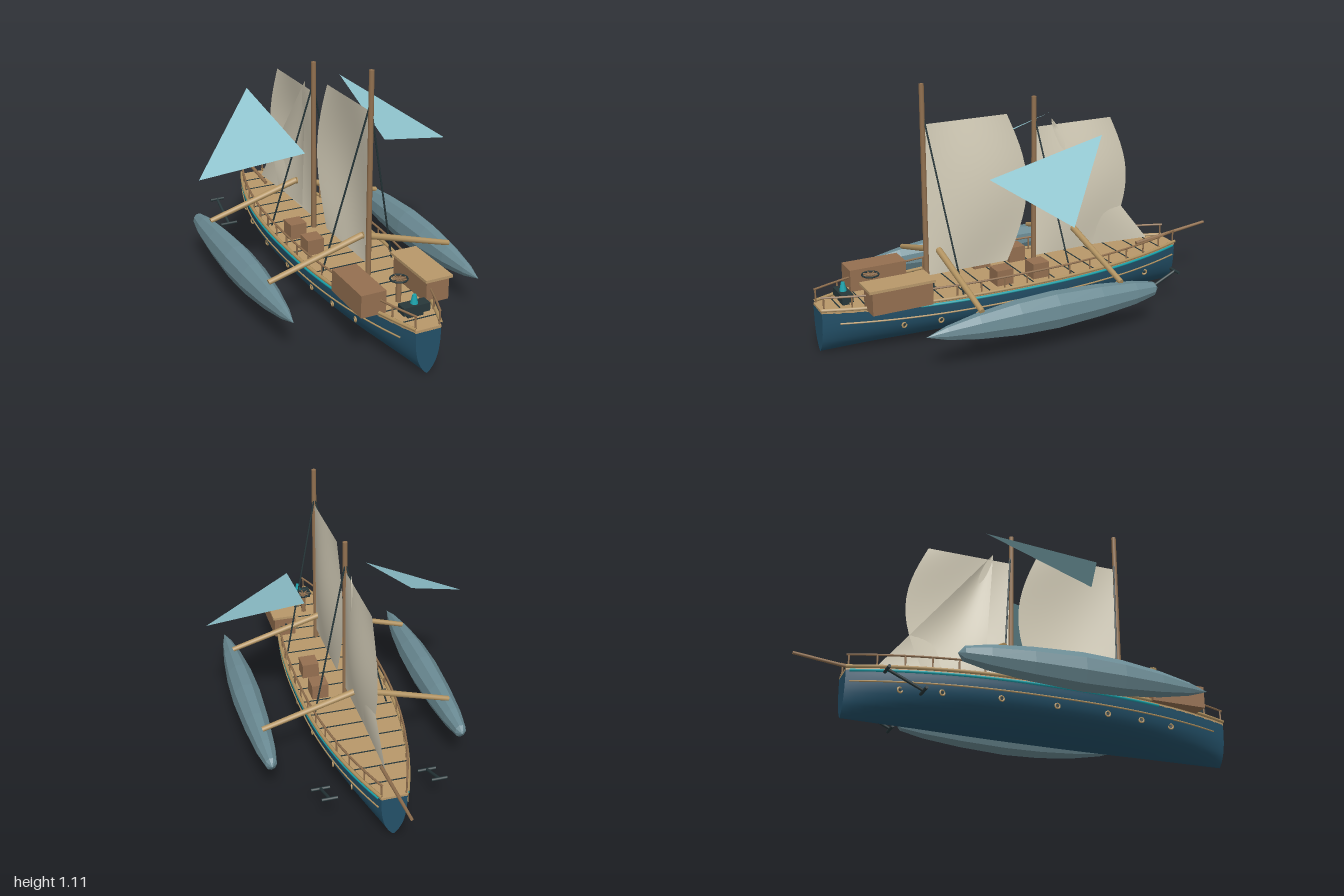
import * as THREE from 'three';
import { ParametricGeometry } from 'three/addons/geometries/ParametricGeometry.js';

const V = (x, y, z) => new THREE.Vector3(x, y, z);
const mat = (name, color, extra = {}) => {
  const m = new THREE.MeshStandardMaterial({ color, ...extra });
  m.name = name;
  return m;
};

const STERN = 1, BOW = -0.785;
// half width of the deck at a given z
const halfWidth = z => 0.21 * (1 - 0.73 * Math.pow(Math.abs((z - 0.108) / 0.893), 2.35));

export function createModel() {
  const ship = new THREE.Group();
  ship.name = 'outriggerShip';

  const hullBlue = mat('hull blue', 0x235068, { side: THREE.DoubleSide });
  const deckTan = mat('deck tan', 0xb8986a);
  const spar = mat('spar wood', 0x91704f);
  const cabinBrown = mat('cabin brown', 0x946f50);
  const beamTan = mat('beam tan', 0xb39462);
  const canvas = mat('canvas', 0xd6cfba, { side: THREE.DoubleSide });
  const kiteBlue = mat('kite blue', 0x90c4ce, { side: THREE.DoubleSide });
  const floatGrey = mat('float grey', 0x6a8a93, { flatShading: true });
  const dark = mat('dark iron', 0x27373a);
  const teal = mat('teal', 0x18a3ad);

  const add = (name, geo, material, x = 0, y = 0, z = 0, parent = ship) => {
    const m = new THREE.Mesh(geo, material);
    m.name = name;
    m.position.set(x, y, z);
    parent.add(m);
    return m;
  };
  const box = (name, w, h, d, material, x, y, z) =>
    add(name, new THREE.BoxGeometry(w, h, d), material, x, y, z);
  // straight round bar between two points
  const rod = (name, a, b, r, material, r2 = r, sides = 8) => {
    const m = add(name, new THREE.CylinderGeometry(r2, r, a.distanceTo(b), sides), material);
    m.position.copy(a).add(b).multiplyScalar(0.5);
    m.quaternion.setFromUnitVectors(V(0, 1, 0), b.clone().sub(a).normalize());
    return m;
  };
  // round strip following the hull side
  const strip = (name, side, y, r, material, scale, offset, z0 = BOW, z1 = STERN) => {
    const pts = [];
    for (let i = 0; i <= 20; i++) {
      const z = z0 + (z1 - z0) * i / 20;
      pts.push(V(side * (halfWidth(z) * scale + offset), y, z));
    }
    add(name, new THREE.TubeGeometry(new THREE.CatmullRomCurve3(pts), 48, r, 6), material);
  };

  // hull: one section, scaled in width along the length
  const half = [[1, 0.192], [0.98, 0.145], [0.9, 0.1], [0.72, 0.058], [0.46, 0.028], [0.2, 0.009]];
  const section = new THREE.SplineCurve([
    ...half.map(p => new THREE.Vector2(p[0], p[1])),
    new THREE.Vector2(0, 0),
    ...half.slice().reverse().map(p => new THREE.Vector2(-p[0], p[1])),
  ]);
  add('hull', new ParametricGeometry((u, v, out) => {
    const z = BOW + (STERN - BOW) * u, p = section.getPoint(v);
    out.set(p.x * halfWidth(z), p.y, z);
  }, 40, 28), hullBlue);
  for (const z of [BOW, STERN]) {
    const w = halfWidth(z);
    const end = new THREE.Shape(section.getPoints(28).map(p => new THREE.Vector2(p.x * w, p.y)));
    add('hullEnd', new THREE.ShapeGeometry(end), hullBlue, 0, 0, z);
  }

  // deck plate and plank seams
  const outline = [];
  for (let i = 0; i <= 30; i++) {
    const z = BOW + (STERN - BOW) * i / 30;
    outline.push(new THREE.Vector2(halfWidth(z), -z));
  }
  const mirrored = outline.map(p => new THREE.Vector2(-p.x, p.y)).reverse();
  const deckGeo = new THREE.ExtrudeGeometry(new THREE.Shape([...outline, ...mirrored]),
    { depth: 0.012, bevelEnabled: false });
  deckGeo.rotateX(-Math.PI / 2);
  add('deck', deckGeo, deckTan, 0, 0.19, 0);
  for (let z = -0.685; z < 0.95; z += 0.107)
    box('plankSeam', halfWidth(z) * 1.9, 0.003, 0.005, dark, 0, 0.203, z);

  for (const s of [-1, 1]) {
    // gunwale, painted stripe, rubbing strip and railing
    strip('gunwale', s, 0.208, 0.008, beamTan, 1, 0);
    strip('tealStripe', s, 0.19, 0.006, teal, 1, 0, -0.77, 0.6);
    strip('rubbingStrip', s, 0.143, 0.004, beamTan, 0.978, 0.001, -0.77, 0.93);
    strip('handrail', s, 0.262, 0.005, spar, 1, -0.006);
    for (let i = 0; i <= 16; i++) {
      const z = BOW + 0.01 + (STERN - BOW - 0.02) * i / 16, x = s * (halfWidth(z) - 0.006);
      rod('railPost', V(x, 0.2, z), V(x, 0.262, z), 0.004, spar, 0.004, 6);
    }
    // portholes
    for (const z of [-0.57, -0.4, -0.15, 0.1, 0.34, 0.51, 0.67]) {
      const slope = Math.atan((halfWidth(z + 0.01) - halfWidth(z - 0.01)) / 0.02);
      const x = s * (halfWidth(z) * 0.925 + 0.002);
      const turn = s * (Math.PI / 2 - slope);
      add('portholeRim', new THREE.TorusGeometry(0.011, 0.004, 6, 14), beamTan, x, 0.11, z).rotation.y = turn;
      add('portholeGlass', new THREE.CircleGeometry(0.011, 14), dark, x, 0.11, z).rotation.y = turn;
    }
    // crossbeams
    for (const z of [-0.235, 0.44])
      rod('crossbeam', V(0, 0.362, z), V(s * 0.435, 0.235, z), 0.015, beamTan, 0.012, 10);

    // faceted float
    const profile = [[0, -0.56], [0.026, -0.535], [0.044, -0.43], [0.059, -0.25], [0.068, -0.03],
      [0.063, 0.15], [0.046, 0.33], [0.024, 0.47], [0, 0.56]];
    const floatGeo = new THREE.LatheGeometry(profile.map(p => new THREE.Vector2(p[0], p[1])), 9);
    floatGeo.rotateX(Math.PI / 2);
    floatGeo.scale(1, 1.25, 1);
    add('float', floatGeo, floatGrey, s * 0.435, 0.172, 0.13);

    // triangular kite
    const kite = new THREE.BufferGeometry().setFromPoints(
      [V(s * 0.603, 0.596, 0.105), V(s * 0.235, 0.852, -0.245), V(s * 0.19, 0.71, 0.28)]);
    kite.computeVertexNormals();
    add('kite', kite, kiteBlue);

    // anchor
    const top = V(s * 0.243, 0.142, -0.66), foot = V(s * 0.243, 0.072, -0.505);
    rod('anchorShank', top, foot, 0.007, dark);
    rod('anchorStock', top.clone().add(V(-0.035, 0, 0)), top.clone().add(V(0.035, 0, 0)), 0.007, dark);
    rod('anchorFluke', foot.clone().add(V(-0.042, 0, 0)), foot.clone().add(V(0.042, 0, 0)), 0.007, dark);

    // deck hatches
    for (const z of [0.01, 0.19]) box('hatch', 0.078, 0.072, 0.08, cabinBrown, s * 0.116, 0.237, z);
  }

  // masts, shrouds and bowsprit
  for (const [z, h, lines] of [[0.5, 1.11, 0.97], [-0.035, 1.0, 0.9]]) {
    rod('mast', V(0, 0.2, z), V(0, h, z), 0.012, spar, 0.011, 12);
    for (const s of [-1, 1])
      rod('shroud', V(0, lines, z - 0.005), V(s * 0.17, 0.2, z - 0.1), 0.004, dark, 0.004, 6);
  }
  rod('bowsprit', V(0, 0.212, -0.6), V(0, 0.257, -0.998), 0.009, spar, 0.007);

  // square-headed sails, bulging sideways, with a curved trailing edge
  const sail = (name, z0, top, bottom, width, bow) =>
    add(name, new ParametricGeometry((u, v, out) => {
      const arch = Math.sin(Math.PI * v);
      out.set(0.034 * Math.sin(Math.PI * u) * arch,
        bottom + (top - bottom) * v, z0 - u * (width + bow * arch));
    }, 14, 14), canvas);
  sail('mainSail', 0.49, 0.935, 0.25, 0.39, 0.1);
  sail('foreSail', -0.045, 0.86, 0.25, 0.39, 0.095);

  // triangular jib
  const peak = V(0, 0.89, -0.125), tack = V(0, 0.235, -0.655), clew = V(0, 0.26, -0.16);
  add('jib', new ParametricGeometry((u, v, out) => {
    out.copy(clew).lerp(tack, u).lerp(peak, v);
    out.x = 0.025 * Math.sin(Math.PI * u) * Math.sin(Math.PI * v);
  }, 12, 12), canvas);

  // cabins
  box('portCabin', 0.105, 0.1, 0.27, cabinBrown, 0.145, 0.25, 0.69);
  box('cabinRoof', 0.126, 0.012, 0.296, deckTan, 0.143, 0.307, 0.692);
  box('starboardCabin', 0.113, 0.1, 0.26, cabinBrown, -0.146, 0.251, 0.69);
  box('cabinLamp', 0.06, 0.01, 0.01, dark, 0.145, 0.26, 0.533);
  box('cabinLampStem', 0.01, 0.035, 0.01, dark, 0.145, 0.26, 0.533);

  // steering wheel lying flat on its pedestal
  rod('wheelPedestal', V(0, 0.2, 0.76), V(0, 0.303, 0.76), 0.012, spar);
  add('wheelRim', new THREE.TorusGeometry(0.036, 0.004, 6, 24), dark, 0, 0.305, 0.76).rotation.x = Math.PI / 2;
  for (let i = 0; i < 4; i++) {
    const a = i * Math.PI / 4, dx = 0.038 * Math.cos(a), dz = 0.038 * Math.sin(a);
    rod('wheelSpoke', V(-dx, 0.305, 0.76 - dz), V(dx, 0.305, 0.76 + dz), 0.003, spar, 0.003, 6);
  }

  // control console with a glowing crystal
  box('consoleFoot', 0.07, 0.025, 0.03, dark, 0, 0.212, 0.885);
  box('console', 0.12, 0.035, 0.05, dark, 0, 0.238, 0.885);
  const crystal = new THREE.CylinderGeometry(0.008, 0.017, 0.04, 8);
  add('crystal', crystal, teal, 0, 0.274, 0.885);

  return ship;
}
